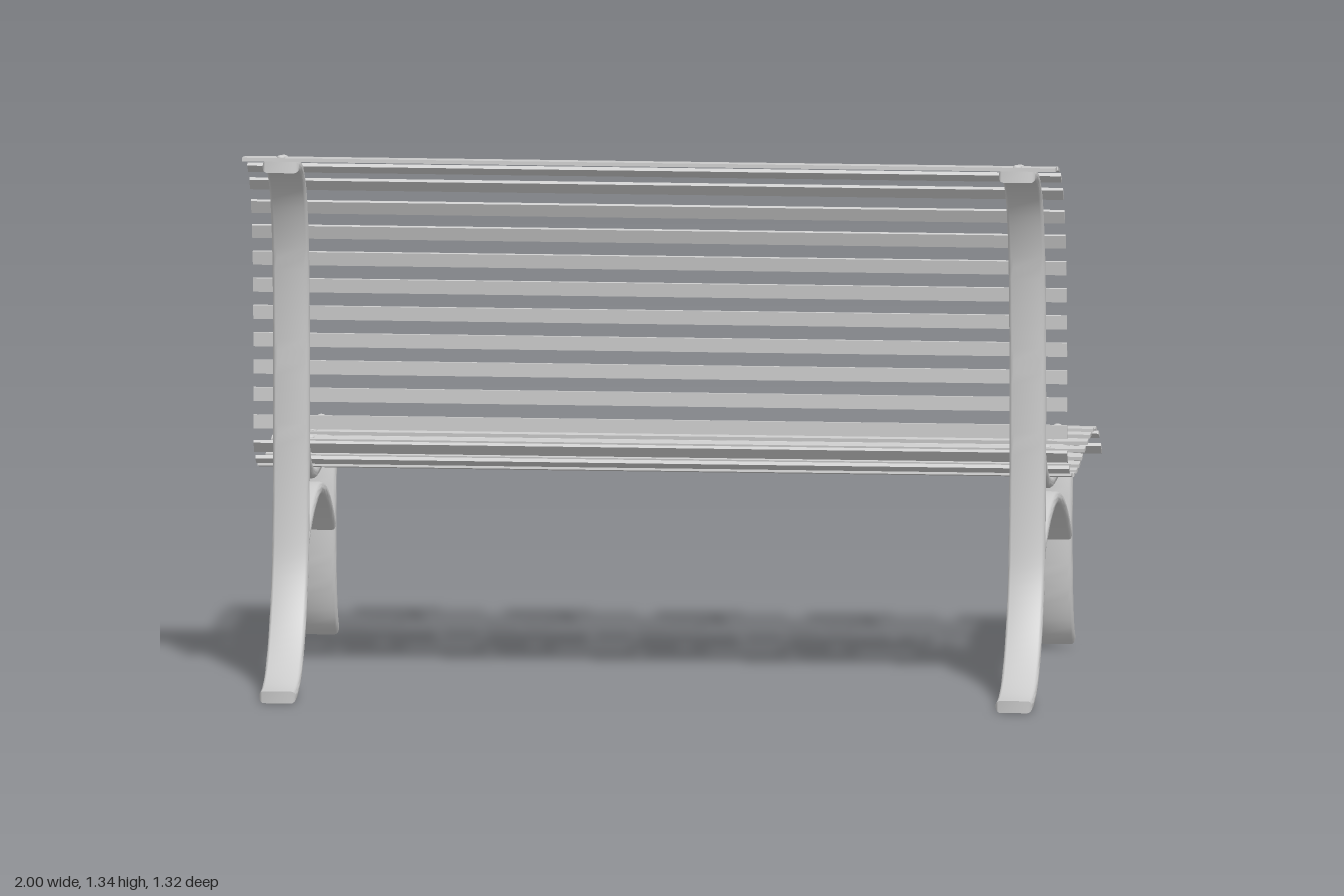
import * as THREE from 'three';
import { toCreasedNormals } from 'three/addons/utils/BufferGeometryUtils.js';

const BAR_X = 0.905, BAR_W = 0.09, BAR_T = 0.03;
const SLAT_T = 0.009, SLAT_W = 0.034;
const material = new THREE.MeshStandardMaterial({ color: 0xcccccc });

// Side-profile curve through [z, y] points
const curve = (pts) => new THREE.SplineCurve(pts.map(([z, y]) => new THREE.Vector2(z, y)));

const backCurve = curve([
  [0.574, 1.315], [0.5, 1.308], [0.436, 1.282], [0.37, 1.222], [0.322, 1.12], [0.298, 1.007],
  [0.286, 0.83], [0.287, 0.563], [0.306, 0.362], [0.336, 0.25], [0.4, 0.141],
  [0.49, 0.057], [0.58, 0.022], [0.66, 0.016],
]);
const seatCurve = curve([
  [0.284, 0.585], [0.247, 0.545], [0.183, 0.511], [0.094, 0.493], [-0.012, 0.492], [-0.12, 0.503],
  [-0.26, 0.52], [-0.403, 0.531], [-0.49, 0.526], [-0.563, 0.502], [-0.613, 0.468], [-0.648, 0.437],
]);
const archCurve = curve([
  [0.305, 0.347], [0.236, 0.381], [0.13, 0.415], [-0.023, 0.434],
  [-0.172, 0.411], [-0.297, 0.36], [-0.406, 0.291],
]);
const frontLegCurve = curve([
  [-0.446, 0.526], [-0.425, 0.456], [-0.411, 0.35], [-0.411, 0.243], [-0.421, 0.155],
  [-0.442, 0.083], [-0.465, 0.044], [-0.493, 0.021],
]);

// Position and upper normal at a distance along a curve
function frameAt(c, u) {
  const p = c.getPointAt(u), t = c.getTangentAt(u);
  return { p, n: new THREE.Vector2(t.y, -t.x) };
}

// Flat bar with rounded edges, following a side-profile curve
function barGeometry(c, segments) {
  const upper = [], lower = [];
  for (let i = 0; i <= segments; i++) {
    const { p, n } = frameAt(c, i / segments);
    upper.push(p.clone().addScaledVector(n, BAR_T / 2));
    lower.unshift(p.clone().addScaledVector(n, -BAR_T / 2));
  }
  const bevel = 0.012;
  const g = new THREE.ExtrudeGeometry(new THREE.Shape([...upper, ...lower]), {
    depth: BAR_W - 2 * bevel, bevelThickness: bevel, bevelSize: bevel, bevelOffset: -bevel, bevelSegments: 4,
  });
  g.translate(0, 0, bevel - BAR_W / 2).rotateY(-Math.PI / 2);
  return toCreasedNormals(g, 0.7);
}

export function createModel() {
  const bench = new THREE.Group();
  bench.name = 'bench';
  const add = (parent, name, geometry, x = 0, y = 0, z = 0) => {
    const m = new THREE.Mesh(geometry, material);
    m.name = name;
    m.position.set(x, y, z);
    parent.add(m);
  };

  // Two identical side frames
  const bars = {
    backLegAndBackrestBar: barGeometry(backCurve, 56),
    seatRail: barGeometry(seatCurve, 40),
    archBrace: barGeometry(archCurve, 26),
    frontLeg: barGeometry(frontLegCurve, 26),
  };
  for (const [side, s] of [['left', 1], ['right', -1]]) {
    const frame = new THREE.Group();
    frame.name = side + 'Frame';
    frame.position.x = s * BAR_X;
    for (const [name, g] of Object.entries(bars)) add(frame, name, g);
    bench.add(frame);
  }

  // Slats with a domed bolt over each frame
  const slatGeometry = new THREE.BoxGeometry(2, SLAT_T, SLAT_W);
  const boltGeometry = new THREE.SphereGeometry(0.011, 12, 5, 0, Math.PI * 2, 0, Math.PI / 2).scale(1, 0.55, 1);
  function addSlats(name, c, count, start, spacing) {
    const length = c.getLength();
    for (let i = 0; i < count; i++) {
      const { p, n } = frameAt(c, (start + i * spacing) / length);
      p.addScaledVector(n, BAR_T / 2 + SLAT_T / 2 - 0.002);
      const slat = new THREE.Group();
      slat.name = name;
      slat.position.set(0, p.y, p.x);
      slat.rotation.x = Math.atan2(n.x, n.y);
      add(slat, 'board', slatGeometry);
      for (const s of [1, -1]) add(slat, 'bolt', boltGeometry, s * BAR_X, SLAT_T / 2, 0);
      bench.add(slat);
    }
  }
  addSlats('backSlat', backCurve, 13, 0.017, 0.0676);
  addSlats('seatSlat', seatCurve, 14, 0.022, (seatCurve.getLength() - 0.056) / 13);

  return bench;
}
